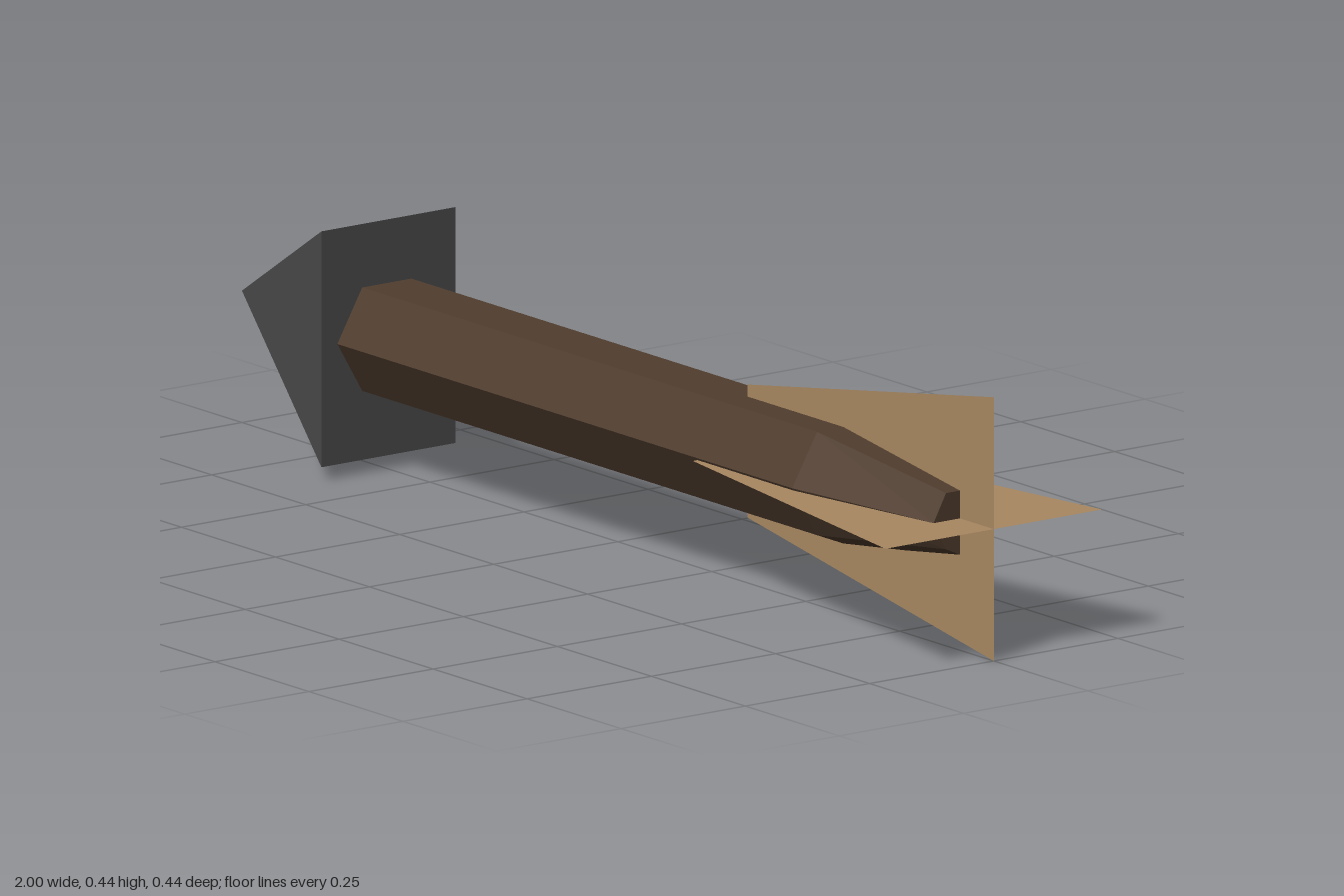
import * as THREE from 'three';

const AXIS_Y = 0.222;

// Flat-shaded loft through cross-sections; each is { x, ring: [z, y] pairs counter-clockwise seen from +x }
function loft(sections) {
  const pos = [];
  const rings = sections.map(({ x, ring }) => ring.map(([z, y]) => [x, y, z]));
  const tri = (a, b, c) => pos.push(...a, ...b, ...c);
  const n = rings[0].length;
  for (let i = 0; i < rings.length - 1; i++) {
    for (let j = 0; j < n; j++) {
      const k = (j + 1) % n;
      const a = rings[i][j], b = rings[i][k], c = rings[i + 1][k], d = rings[i + 1][j];
      tri(a, b, c);
      tri(a, c, d);
    }
  }
  const first = rings[0], last = rings[rings.length - 1];
  for (let j = 1; j < n - 1; j++) {
    tri(first[0], first[j + 1], first[j]);
    tri(last[0], last[j], last[j + 1]);
  }
  const g = new THREE.BufferGeometry();
  g.setAttribute('position', new THREE.Float32BufferAttribute(pos, 3));
  g.computeVertexNormals();
  return g;
}

export function createModel() {
  const wood = new THREE.MeshStandardMaterial({ color: 0x503d2e, flatShading: true });
  wood.name = 'dark wood';
  const iron = new THREE.MeshStandardMaterial({ color: 0x4c4c4c, flatShading: true });
  iron.name = 'dark iron';
  const feather = new THREE.MeshStandardMaterial({ color: 0xa98862, side: THREE.DoubleSide });
  feather.name = 'tan feather';

  const model = new THREE.Group();
  model.name = 'arrow';
  const add = (name, geometry, material) => {
    const mesh = new THREE.Mesh(geometry, material);
    mesh.name = name;
    model.add(mesh);
    return mesh;
  };

  // Head: four-sided pyramid pointing to -x, taller than wide
  const head = new THREE.ConeGeometry(Math.SQRT2, 0.39, 4);
  head.rotateY(Math.PI / 4);
  head.rotateZ(Math.PI / 2);
  head.scale(1, 0.195, 0.135);
  head.translate(-0.805, AXIS_Y, 0);
  add('arrowHead', head.toNonIndexed(), iron);

  // Shaft: six-sided, one lower edge flares out before the tail narrows
  const hexagon = [[0.103, 0.226], [0.053, 0.141], [-0.046, 0.141], [-0.095, 0.227], [-0.046, 0.312], [0.053, 0.312]];
  const flared = hexagon.map((p, i) => (i === 2 ? [-0.077, 0.088] : p));
  const tail = [[0.053, 0.222], [0.028, 0.175], [-0.047, 0.14], [-0.052, 0.223], [-0.026, 0.268], [0.028, 0.268]];
  add('shaft', loft([
    { x: -0.61, ring: hexagon },
    { x: 0.6, ring: flared },
    { x: 0.91, ring: tail },
  ]), wood);

  // Fletching: two crossed flat vanes widening to the rear
  const vane = new THREE.Shape([
    new THREE.Vector2(0.345, -0.11),
    new THREE.Vector2(1, -0.218),
    new THREE.Vector2(1, 0.218),
    new THREE.Vector2(0.345, 0.11),
  ]);
  ['verticalVane', 'horizontalVane'].forEach((name, i) => {
    const mesh = add(name, new THREE.ShapeGeometry(vane), feather);
    mesh.position.y = AXIS_Y;
    mesh.rotation.x = -i * Math.PI / 2;
  });

  return model;
}
